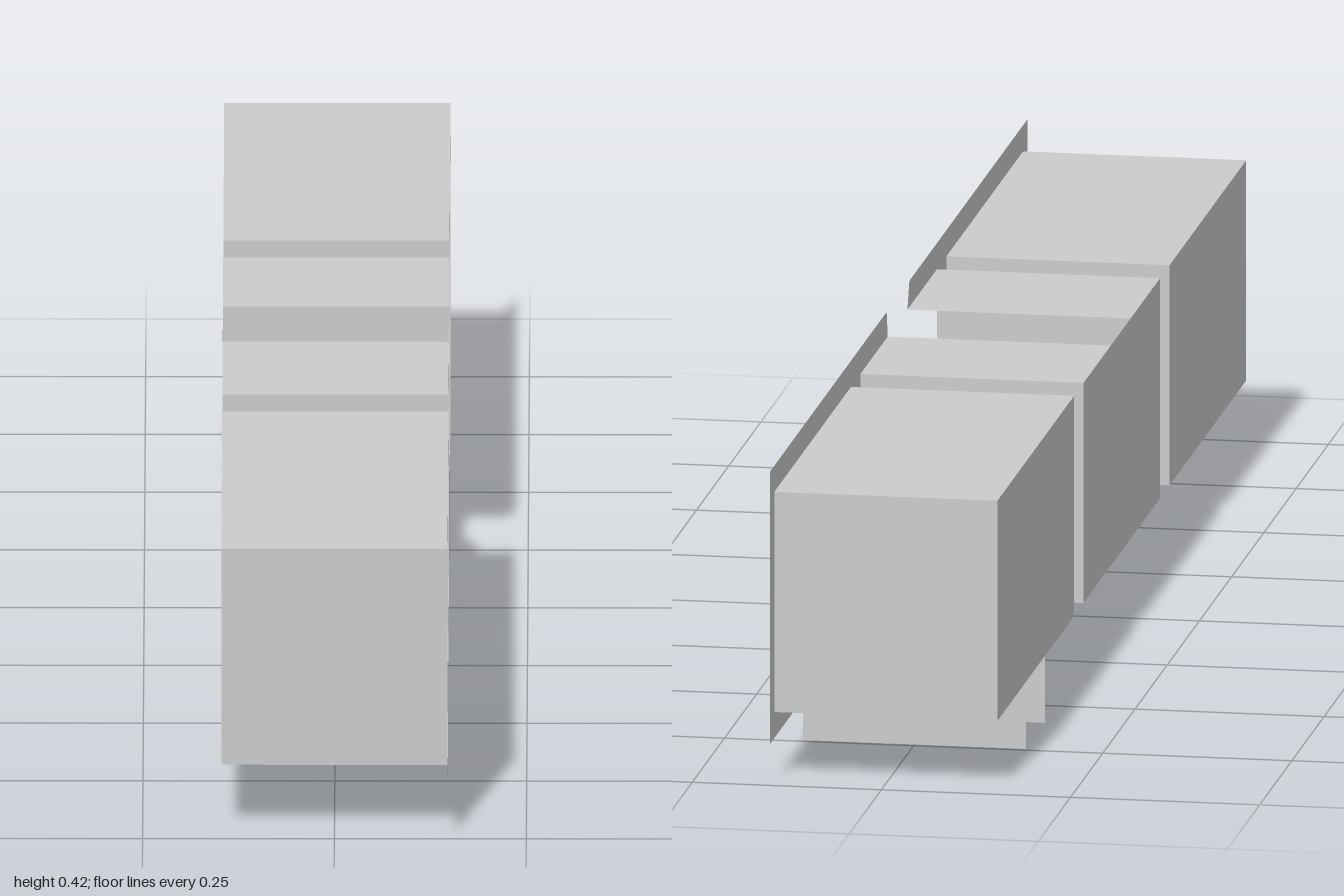
import * as THREE from 'three';

const D = 0.1475;             // half depth, along x
const LOW = 0.09, HIGH = 0.385; // floor and roof of the bays

const material = new THREE.MeshStandardMaterial({
  color: 0xcccccc, side: THREE.DoubleSide, flatShading: true,
});

// Thin sheet folded along a [z, y] path and running the full depth
function foldedSheet(name, path) {
  const pos = [];
  for (let i = 0; i < path.length - 1; i++) {
    const [z0, y0] = path[i], [z1, y1] = path[i + 1];
    pos.push(-D, y0, z0, D, y0, z0, D, y1, z1);
    pos.push(-D, y0, z0, D, y1, z1, -D, y1, z1);
  }
  const geo = new THREE.BufferGeometry();
  geo.setAttribute('position', new THREE.Float32BufferAttribute(pos, 3));
  geo.computeVertexNormals();
  const mesh = new THREE.Mesh(geo, material);
  mesh.name = name;
  return mesh;
}

// Flat sheet with a [z, y] outline, facing along +x (side 1) or -x (side -1)
function flatSheet(name, outline, side) {
  const shape = new THREE.Shape(outline.map(([z, y]) => new THREE.Vector2(-side * z, y)));
  const geo = new THREE.ShapeGeometry(shape);
  geo.rotateY(side * Math.PI / 2);
  const mesh = new THREE.Mesh(geo, material);
  mesh.name = name;
  mesh.position.x = side * D;
  return mesh;
}

function bay(name, zMin, zMax, path) {
  const group = new THREE.Group();
  group.name = name;
  group.add(foldedSheet(name + 'Shell', path));
  group.add(flatSheet(name + 'BackWall',
    [[zMin, LOW], [zMax, LOW], [zMax, HIGH], [zMin, HIGH]], -1));
  return group;
}

export function createModel() {
  const model = new THREE.Group();
  model.name = 'threeBayHousing';

  // Front bay: slot through the floor
  model.add(bay('frontBay', 0.37, 0.965, [
    [0.74, LOW], [0.965, LOW], [0.965, HIGH], [0.37, HIGH], [0.37, LOW], [0.52, LOW],
  ]));

  // Middle bay: raised step in the floor, slot through the roof
  model.add(bay('middleBay', -0.297, 0.297, [
    [-0.085, HIGH], [-0.297, HIGH], [-0.297, LOW], [-0.145, LOW], [-0.145, 0.17],
    [0.145, 0.17], [0.145, LOW], [0.297, LOW], [0.297, HIGH], [0.068, HIGH],
  ]));

  // Rear bay: floor slot with a flap hanging from each edge
  model.add(bay('rearBay', -0.965, -0.37, [
    [-0.595, 0], [-0.595, LOW], [-0.37, LOW], [-0.37, HIGH], [-0.965, HIGH],
    [-0.965, LOW], [-0.743, LOW], [-0.743, 0],
  ]));

  // Face plate: its three openings run out through the slots
  model.add(flatSheet('facePlate', [
    // front bay opening
    [0.735, 0.055], [0.74, LOW], [0.965, LOW], [0.965, HIGH], [0.37, HIGH], [0.37, LOW],
    [0.52, LOW], [0.52, 0.055],
    // lower edge
    [0.33, 0.055], [0.33, 0.05], [-0.33, 0.05], [-0.33, 0.055],
    // rear bay opening
    [-0.595, 0.055], [-0.595, LOW], [-0.37, LOW], [-0.37, HIGH], [-0.965, HIGH],
    [-0.965, LOW], [-0.743, LOW], [-0.743, 0.055],
    // rear end and upper edge
    [-1, 0.055], [-1, 0.42], [-0.093, 0.42],
    // middle bay opening
    [-0.085, HIGH], [-0.297, HIGH], [-0.297, LOW], [-0.145, LOW], [-0.145, 0.17],
    [0.145, 0.17], [0.145, LOW], [0.297, LOW], [0.297, HIGH], [0.068, HIGH],
    // upper edge and front end
    [0.083, 0.42], [1, 0.42], [1, 0.055],
  ], 1));

  return model;
}
